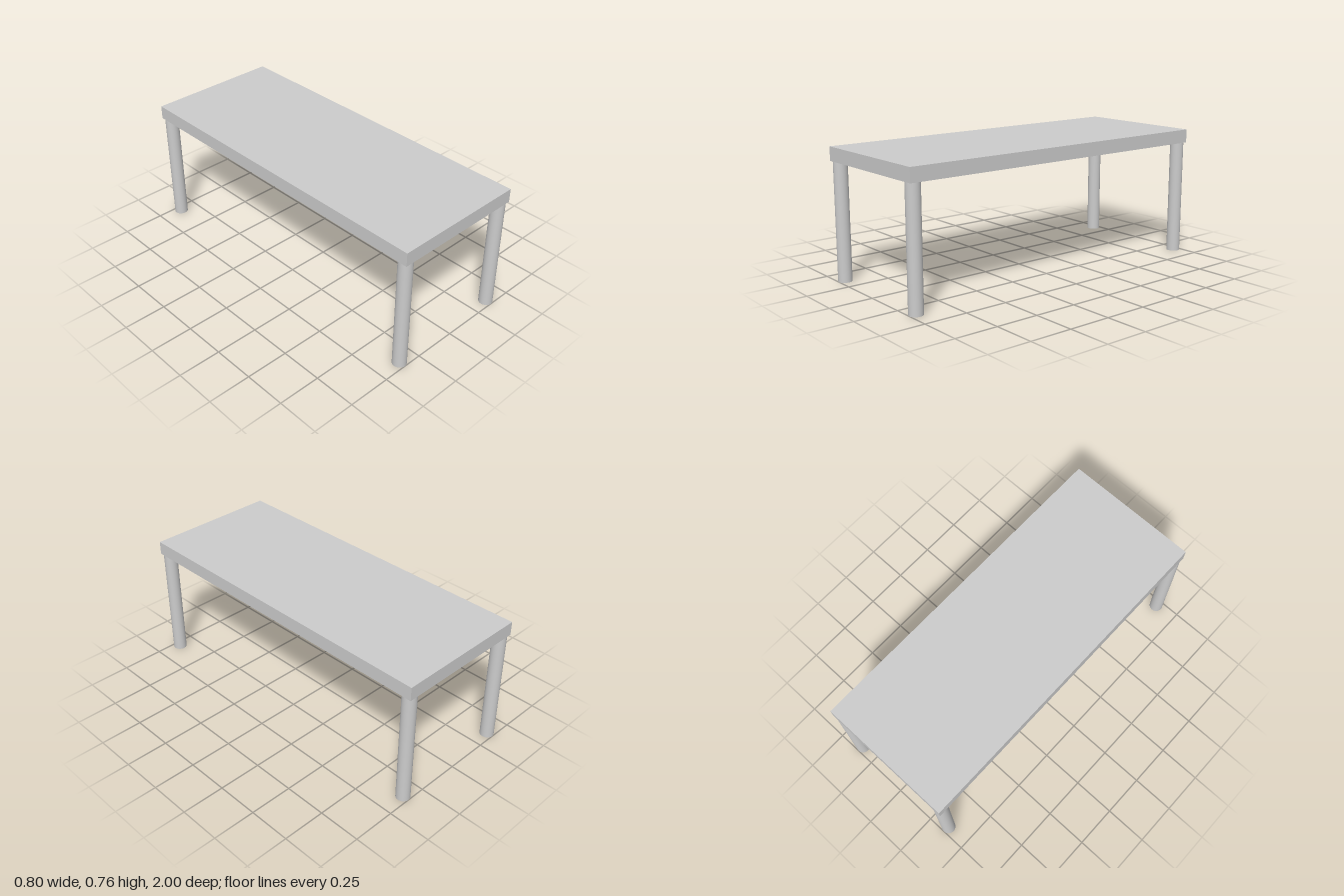
import * as THREE from 'three';

export function createModel() {
  const table = new THREE.Group();
  table.name = 'table';
  const material = new THREE.MeshStandardMaterial({ color: 0xcccccc });

  const width = 0.8, length = 2, height = 0.76, thickness = 0.08;
  const legRadius = 0.04, legHeight = height - thickness;

  // Flat rectangular top
  const top = new THREE.Mesh(new THREE.BoxGeometry(width, thickness, length), material);
  top.name = 'tableTop';
  top.position.y = height - thickness / 2;
  table.add(top);

  // Four round legs, flush with the edges of the top
  const legGeometry = new THREE.CylinderGeometry(legRadius, legRadius, legHeight, 32);
  for (const [end, sz] of [['front', 1], ['back', -1]]) {
    for (const [side, sx] of [['Left', 1], ['Right', -1]]) {
      const leg = new THREE.Mesh(legGeometry, material);
      leg.name = `${end}${side}Leg`;
      leg.position.set(sx * (width / 2 - legRadius), legHeight / 2, sz * (length / 2 - legRadius));
      table.add(leg);
    }
  }

  return table;
}
